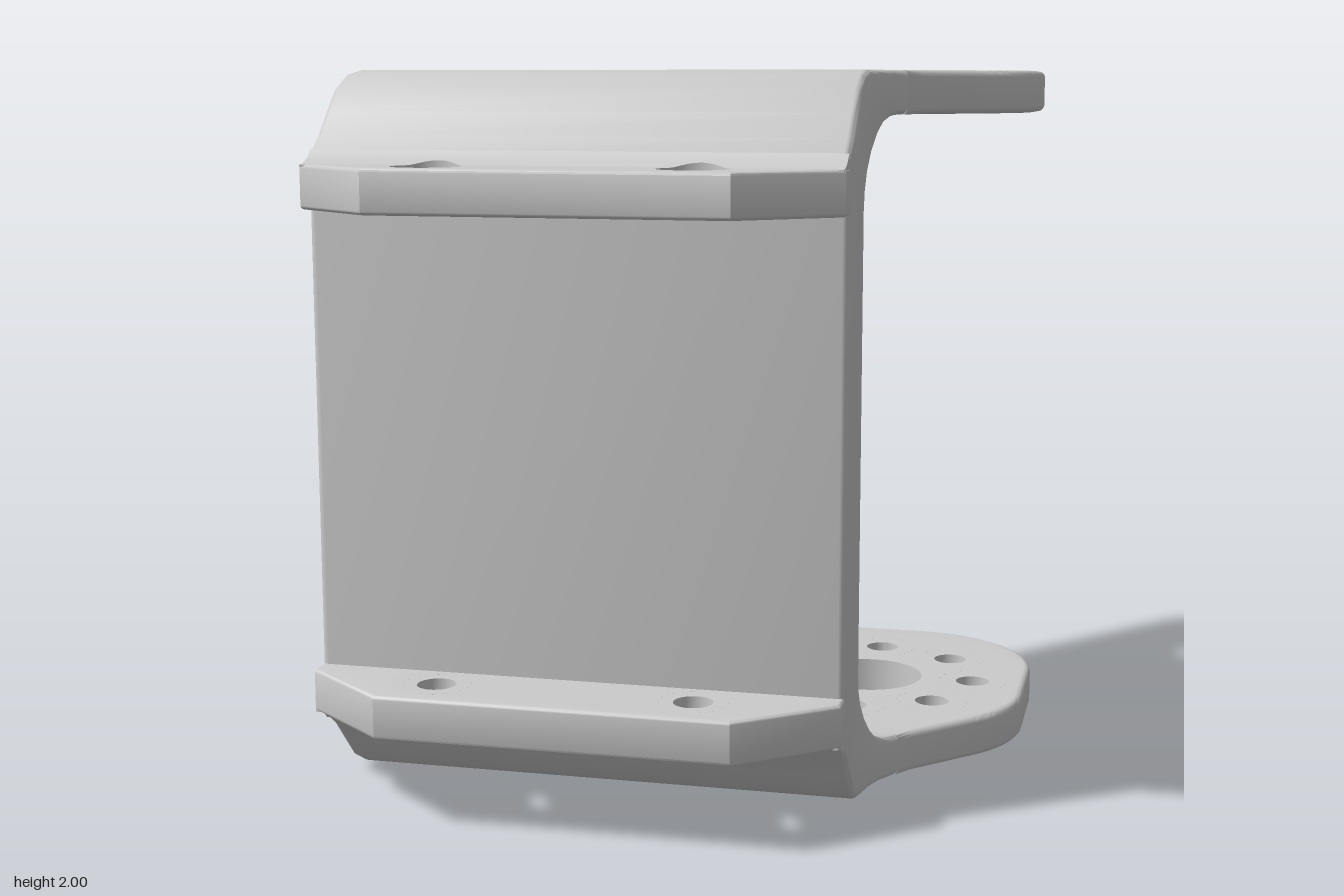
import * as THREE from 'three';
import { toCreasedNormals } from 'three/addons/utils/BufferGeometryUtils.js';

const material = new THREE.MeshStandardMaterial({ color: 0xcccccc });
const lerp = THREE.MathUtils.lerp;
const LEFT = -0.93, RIGHT = 0.54, ROUND = 0.018, JOIN = 0.2;

// Plan outline limits of the curved sides, as functions of z
const flare = (z, start, r) => (z < start ? r - Math.sqrt(r * r - (start - z) ** 2) : 0);
const minX = z => LEFT + flare(z, 0.56, 0.76);
const maxX = z => RIGHT + flare(z, 0.43, 0.4);

// Copy of a geometry reflected about y = 1
function mirrorY(geometry) {
  const g = geometry.index ? geometry.toNonIndexed() : geometry.clone();
  const p = g.attributes.position, a = new THREE.Vector3(), b = new THREE.Vector3();
  for (let i = 0; i < p.count; i++) p.setY(i, 2 - p.getY(i));
  for (let i = 0; i < p.count; i += 3) {
    a.fromBufferAttribute(p, i + 1);
    b.fromBufferAttribute(p, i + 2);
    p.setXYZ(i + 1, b.x, b.y, b.z);
    p.setXYZ(i + 2, a.x, a.y, a.z);
  }
  return g;
}

// Flat plate with rounded outer edges, straight-walled holes and a square joining end
function plate(shape, holes, bottom, top, s, snapEnd) {
  for (const h of holes) {
    shape.holes.push(new THREE.Path().absarc(h.x, -h.z, h.r, 0, Math.PI * 2, true));
  }
  const g = new THREE.ExtrudeGeometry(shape, {
    depth: top - bottom - 2 * s, bevelThickness: s, bevelSize: s, bevelOffset: -s,
    bevelSegments: 3, curveSegments: 28,
  });
  g.rotateX(-Math.PI / 2).translate(0, bottom + s, 0);
  const p = g.attributes.position;
  for (let i = 0; i < p.count; i++) {
    const x = p.getX(i), z = p.getZ(i);
    const hole = holes.find(h => Math.abs(Math.hypot(x - h.x, z - h.z) - h.r) < s * 1.15);
    if (hole) {
      const k = hole.r / Math.hypot(x - hole.x, z - hole.z);
      p.setX(i, hole.x + (x - hole.x) * k);
      p.setZ(i, hole.z + (z - hole.z) * k);
    } else p.setZ(i, snapEnd(z));
  }
  return g;
}

// Ring that forms the floor of a counterbore
function counterboreFloor(h, bottom, height) {
  const v = (x, y) => new THREE.Vector2(x, y);
  const g = new THREE.LatheGeometry([
    v(h.inner, 0), v(h.r, 0), v(h.r, height), v(h.inner, height), v(h.inner, 0)], 32);
  return g.translate(h.x, bottom, h.z);
}

// Arm: slanted plate with a large bore and a ring of eight counterbored holes
const armHoles = [{ x: 0.43, z: -0.39, r: 0.172 }];
for (let i = 0; i < 8; i++) {
  const a = i * Math.PI / 4;
  armHoles.push({
    x: 0.43 + 0.333 * Math.cos(a), z: -0.39 + 0.333 * Math.sin(a), r: 0.106, inner: 0.051,
  });
}
function armGeometry() {
  const s = new THREE.Shape();
  s.moveTo(minX(JOIN), -JOIN);
  s.lineTo(maxX(JOIN), -JOIN);
  s.lineTo(maxX(0.155), -0.155);
  s.lineTo(0.81, 0.015);
  s.quadraticCurveTo(0.926, 0.138, 0.926, 0.3);
  s.lineTo(0.926, 0.565);
  s.absarc(0.526, 0.565, 0.4, 0, Math.PI / 2, false);
  s.lineTo(0.28, 0.965);
  s.quadraticCurveTo(0.125, 0.955, 0, 0.81);
  for (const z of [0.066, 0.11, 0.155]) s.lineTo(minX(z), -z);
  return plate(s, armHoles, 1.88, 2, ROUND, z => (z > 0.175 ? JOIN : z));
}

// Bends and wall: rounded rectangular sections swept along a C-shaped path
function webGeometry() {
  // outer z, outer y, inner z, inner y
  const half = [
    [0.2, 2, 0.2, 1.88], [0.26, 2, 0.22, 1.879], [0.33, 2, 0.25, 1.874], [0.4, 2, 0.285, 1.858],
    [0.46, 1.988, 0.32, 1.828], [0.52, 1.953, 0.365, 1.78], [0.58, 1.89, 0.415, 1.722],
    [0.64, 1.826, 0.448, 1.672], [0.7, 1.78, 0.46, 1.62]];
  const stations = [...half, ...half.map(([a, b, c, d]) => [a, 2 - b, c, 2 - d]).reverse()];
  const pos = [], index = [], steps = 3, n = 4 * (steps + 1);
  for (const [oz, oy, iz, iy] of stations) {
    const r = ROUND, rt = r / Math.hypot(oz - iz, oy - iy);
    for (let c = 0; c < 4; c++) {
      for (let k = 0; k <= steps; k++) {
        const a = (c + k / steps) * Math.PI / 2;
        const t = (c < 2 ? 1 - rt : rt) + rt * Math.sin(a);
        const z = lerp(iz, oz, t);
        const edge = c === 0 || c === 3 ? maxX(z) - r : minX(z) + r;
        pos.push(edge + r * Math.cos(a), lerp(iy, oy, t), z);
      }
    }
  }
  for (let s = 0; s < stations.length - 1; s++) {
    for (let j = 0; j < n; j++) {
      const a = s * n + j, b = s * n + (j + 1) % n;
      index.push(a, b, b + n, a, b + n, a + n);
    }
  }
  const g = new THREE.BufferGeometry();
  g.setAttribute('position', new THREE.Float32BufferAttribute(pos, 3));
  g.setIndex(index);
  return g;
}

// Flange: ledge with clipped corners and two counterbored holes
const flangeHoles = [-0.55, 0.16].map(x => ({ x, z: 0.815, r: 0.094, inner: 0.053 }));
function flangeGeometry() {
  const s = new THREE.Shape([
    [LEFT, -0.69], [LEFT, -0.755], [-0.675, -0.96], [0.29, -0.96], [RIGHT, -0.755], [RIGHT, -0.69],
  ].map(p => new THREE.Vector2(...p)));
  return plate(s, flangeHoles, 1.632, 1.752, 0.01, z => (z < 0.71 ? 0.69 : z));
}

// Fillet between bend and flange, cut away where the counterbores reach it
function filletGeometry() {
  const cols = 140, rows = 7;
  const g = new THREE.PlaneGeometry(1, 1, cols, rows);
  const p = g.attributes.position;
  for (let j = 0; j <= rows; j++) {
    for (let i = 0; i <= cols; i++) {
      const u = THREE.MathUtils.clamp((i - 1) / (cols - 2), 0, 1);
      const x = lerp(LEFT + 0.004, RIGHT - 0.004, u);
      let end = 0.765;
      for (const h of flangeHoles) {
        const d = Math.abs(x - h.x);
        if (d < h.r) end = Math.min(end, h.z - Math.sqrt(h.r * h.r - d * d));
      }
      const z = lerp(0.69, end, Math.min(1, j / (rows - 1)));
      const border = i === 0 || i === cols || j === rows;
      p.setXYZ(j * (cols + 1) + i, x, border ? 1.745 : 1.751 + 0.029 * ((0.765 - z) / 0.065) ** 2, z);
    }
  }
  return g;
}

export function createModel() {
  const model = new THREE.Group();
  model.name = 'bracket';
  const add = (parent, name, geometry, crease = 0.6) => {
    const mesh = new THREE.Mesh(toCreasedNormals(geometry, crease), material);
    mesh.name = name;
    parent.add(mesh);
  };

  add(model, 'wallAndBends', webGeometry());

  // Upper and lower halves mirror each other
  const parts = [['arm', armGeometry()], ['flange', flangeGeometry()], ['flangeFillet', filletGeometry()]];
  for (const h of armHoles.slice(1)) parts.push(['armHoleFloor', counterboreFloor(h, 1.88, 0.043)]);
  for (const h of flangeHoles) parts.push(['flangeHoleFloor', counterboreFloor(h, 1.632, 0.04)]);
  for (const side of ['upper', 'lower']) {
    const half = new THREE.Group();
    half.name = side + 'Half';
    for (const [name, g] of parts) add(half, name, side === 'upper' ? g : mirrorY(g));
    model.add(half);
  }
  return model;
}
